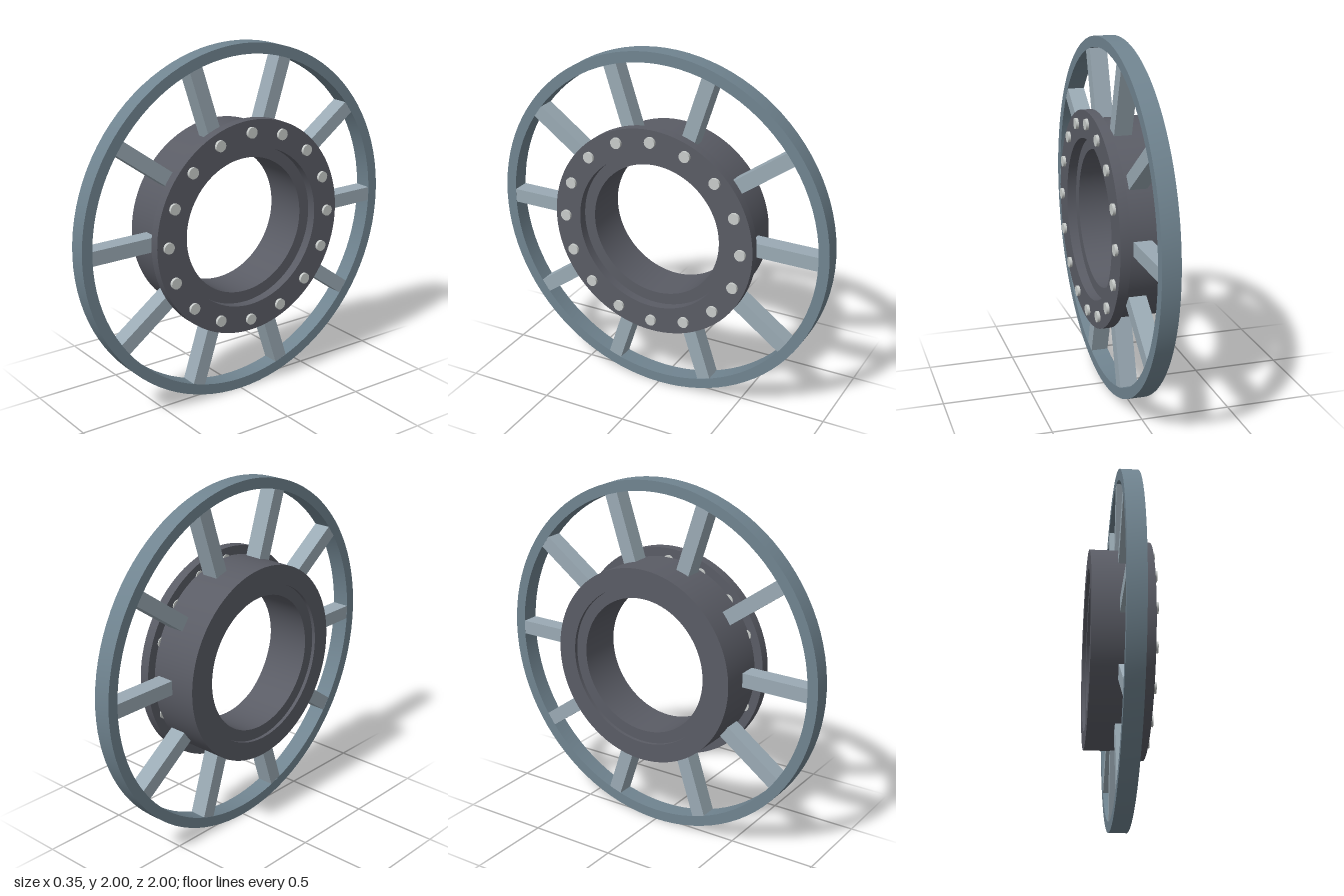
import * as THREE from 'three';
import { toCreasedNormals } from 'three/addons/utils/BufferGeometryUtils.js';

const mat = (name, color) => {
  const m = new THREE.MeshStandardMaterial({ color });
  m.name = name;
  return m;
};

// Solid of revolution about the x axis; closed profile of [radius, x],
// running forward along the outside and back along the inside
function turned(name, profile, material) {
  const points = [...profile, profile[0]].map(([r, x]) => new THREE.Vector2(r, x));
  const geometry = toCreasedNormals(new THREE.LatheGeometry(points, 96), 0.6);
  geometry.rotateZ(-Math.PI / 2);
  const mesh = new THREE.Mesh(geometry, material);
  mesh.name = name;
  return mesh;
}

export function createModel() {
  const rimSteel = mat('blue grey steel', 0x708490);
  const spokeSteel = mat('light blue grey steel', 0x9aaab4);
  const darkSteel = mat('dark grey steel', 0x5a5c65);
  const boltSteel = mat('pale bolt steel', 0xc8ccca);

  const model = new THREE.Group();
  model.name = 'spokedWheel';
  const wheel = new THREE.Group();
  wheel.name = 'wheel';
  wheel.position.y = 1;
  model.add(wheel);

  // Outer rim
  wheel.add(turned('rim', [[1, -0.03], [1, 0.07], [0.94, 0.07], [0.94, -0.03]], rimSteel));

  // Hub drum with a shallow recess around the bore at the back
  wheel.add(turned('hubDrum', [
    [0.45, -0.175], [0.555, -0.175], [0.555, 0.102], [0.385, 0.102],
    [0.385, -0.155], [0.45, -0.155],
  ], darkSteel));

  // Bolted flange on the hub
  wheel.add(turned('hubFlange', [[0.605, 0.1], [0.605, 0.155], [0.45, 0.155], [0.45, 0.1]], darkSteel));

  // Ten square spokes from the drum to the rim
  const spokeGeometry = new THREE.BoxGeometry(0.098, 0.41, 0.08);
  spokeGeometry.translate(0.02, 0.745, 0);
  for (let i = 0; i < 10; i++) {
    const spoke = new THREE.Mesh(spokeGeometry, spokeSteel);
    spoke.name = `spoke${i + 1}`;
    spoke.rotation.x = Math.PI / 2 + (i * Math.PI) / 5;
    wheel.add(spoke);
  }

  // Ring of sixteen bolts through the flange
  const boltGeometry = new THREE.CylinderGeometry(0.031, 0.031, 0.077, 20);
  boltGeometry.rotateZ(-Math.PI / 2);
  boltGeometry.translate(0.1325, 0.537, 0);
  for (let i = 0; i < 16; i++) {
    const bolt = new THREE.Mesh(boltGeometry, boltSteel);
    bolt.name = `bolt${i + 1}`;
    bolt.rotation.x = (i * Math.PI) / 8;
    wheel.add(bolt);
  }

  return model;
}
